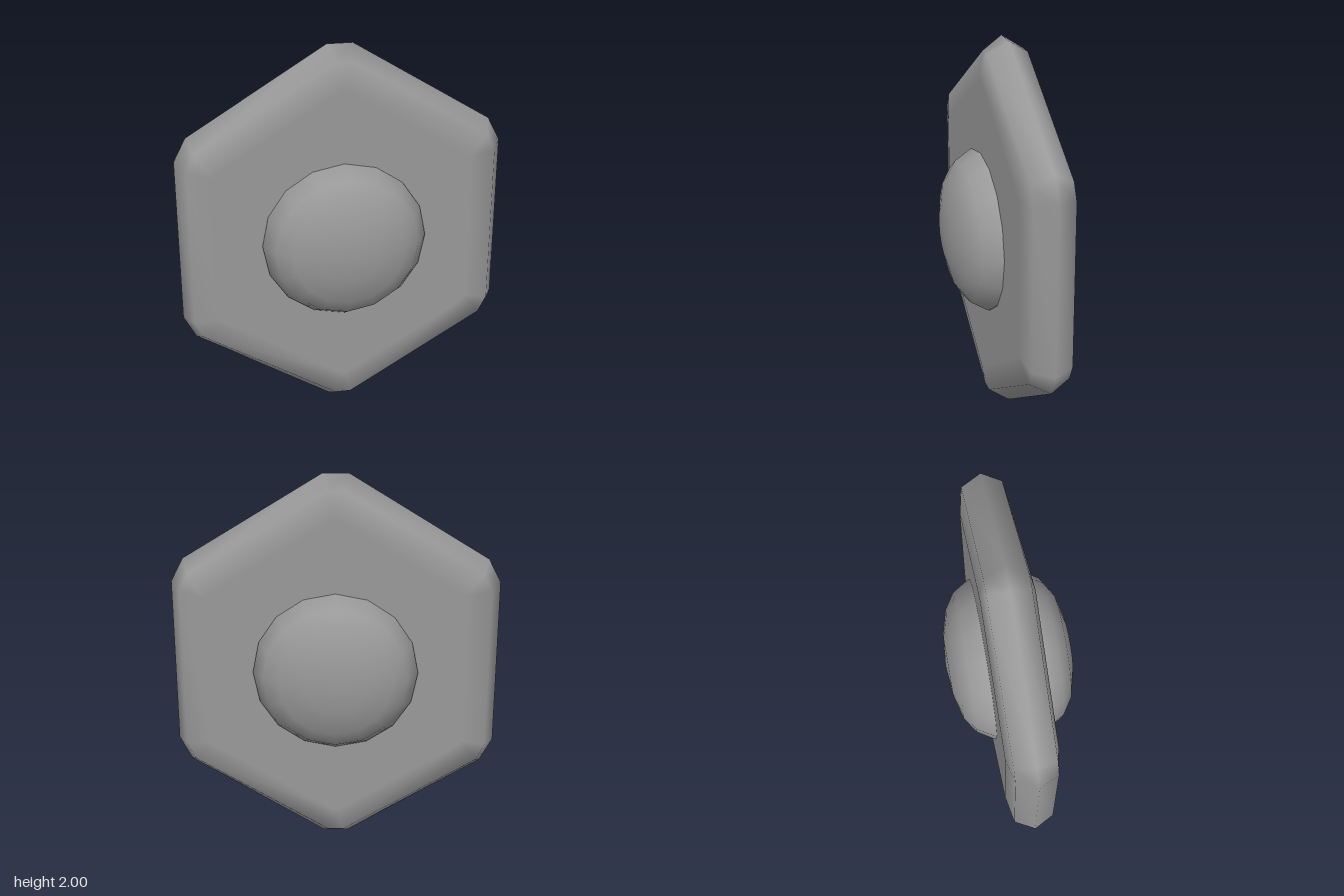
import * as THREE from 'three';
import { mergeVertices } from 'three/addons/utils/BufferGeometryUtils.js';

// Hexagon outline with clipped corners, mirrored from one quarter, counter-clockwise
function hexOutline([top, hi, lo]) {
  const right = [lo, hi, top];
  const left = [top, hi, lo];
  const flip = (pts, sx, sy) => pts.map(([x, y]) => [x * sx, y * sy]);
  return [...right, ...flip(left, -1, 1), ...flip(right, -1, -1), ...flip(left, 1, -1)];
}

// Closed solid from stacked outlines along z, with a flat fan closing each end
function loft(rings) {
  const n = rings[0].pts.length;
  const pos = [];
  const index = [];
  rings.forEach(({ pts, z }) => pts.forEach(([x, y]) => pos.push(x, y, z)));
  const back = pos.length / 3;
  const front = back + 1;
  pos.push(0, 0, rings[0].z, 0, 0, rings[rings.length - 1].z);
  const last = (rings.length - 1) * n;
  for (let j = 0; j < n; j++) {
    const k = (j + 1) % n;
    for (let i = 0; i < rings.length - 1; i++) {
      const a = i * n + j, b = i * n + k;
      index.push(a, b, b + n, a, b + n, a + n);
    }
    index.push(back, k, j, front, last + j, last + k);
  }
  const geo = new THREE.BufferGeometry();
  geo.setAttribute('position', new THREE.Float32BufferAttribute(pos, 3));
  geo.setIndex(index);
  geo.computeVertexNormals();
  // Keep both end faces evenly flat, so only the rim is shaded round
  for (let j = 0; j < n; j++) {
    geo.attributes.normal.setXYZ(j, 0, 0, -1);
    geo.attributes.normal.setXYZ(last + j, 0, 0, 1);
  }
  return geo;
}

// Lathe with shared vertices, so the shading runs smoothly over its poles
function smoothLathe(profile, segments) {
  const geo = new THREE.LatheGeometry(profile, segments);
  geo.deleteAttribute('normal');
  geo.deleteAttribute('uv');
  const merged = mergeVertices(geo, 1e-4);
  merged.computeVertexNormals();
  return merged;
}

export function createModel() {
  const group = new THREE.Group();
  group.name = 'hexagonalBadge';
  const material = new THREE.MeshStandardMaterial({ color: 0x999999 });

  // Hexagonal plate with rounded rim
  const rim = hexOutline([[0.065, 1], [0.77, 0.562], [0.833, 0.44]]);
  const shoulder = hexOutline([[0.04, 0.935], [0.738, 0.51], [0.78, 0.425]]);
  const face = hexOutline([[0.01, 0.8], [0.64, 0.41], [0.65, 0.39]]);
  const plate = new THREE.Mesh(loft([
    { pts: face, z: -0.13 },
    { pts: shoulder, z: -0.104 },
    { pts: rim, z: 0 },
    { pts: shoulder, z: 0.104 },
    { pts: face, z: 0.13 },
  ]), material);
  plate.name = 'plate';
  plate.position.y = 1;
  group.add(plate);

  // Domed boss showing on both faces
  const dome = [[0.42, 0.14], [0.367, 0.226], [0.285, 0.28], [0.155, 0.315], [0, 0.327]];
  const profile = [
    ...[...dome].reverse().map(([r, z]) => new THREE.Vector2(r, -z)),
    ...dome.map(([r, z]) => new THREE.Vector2(r, z)),
  ];
  const boss = new THREE.Mesh(smoothLathe(profile, 16), material);
  boss.name = 'centreBoss';
  boss.rotation.x = Math.PI / 2;
  boss.position.y = 1;
  group.add(boss);

  return group;
}
